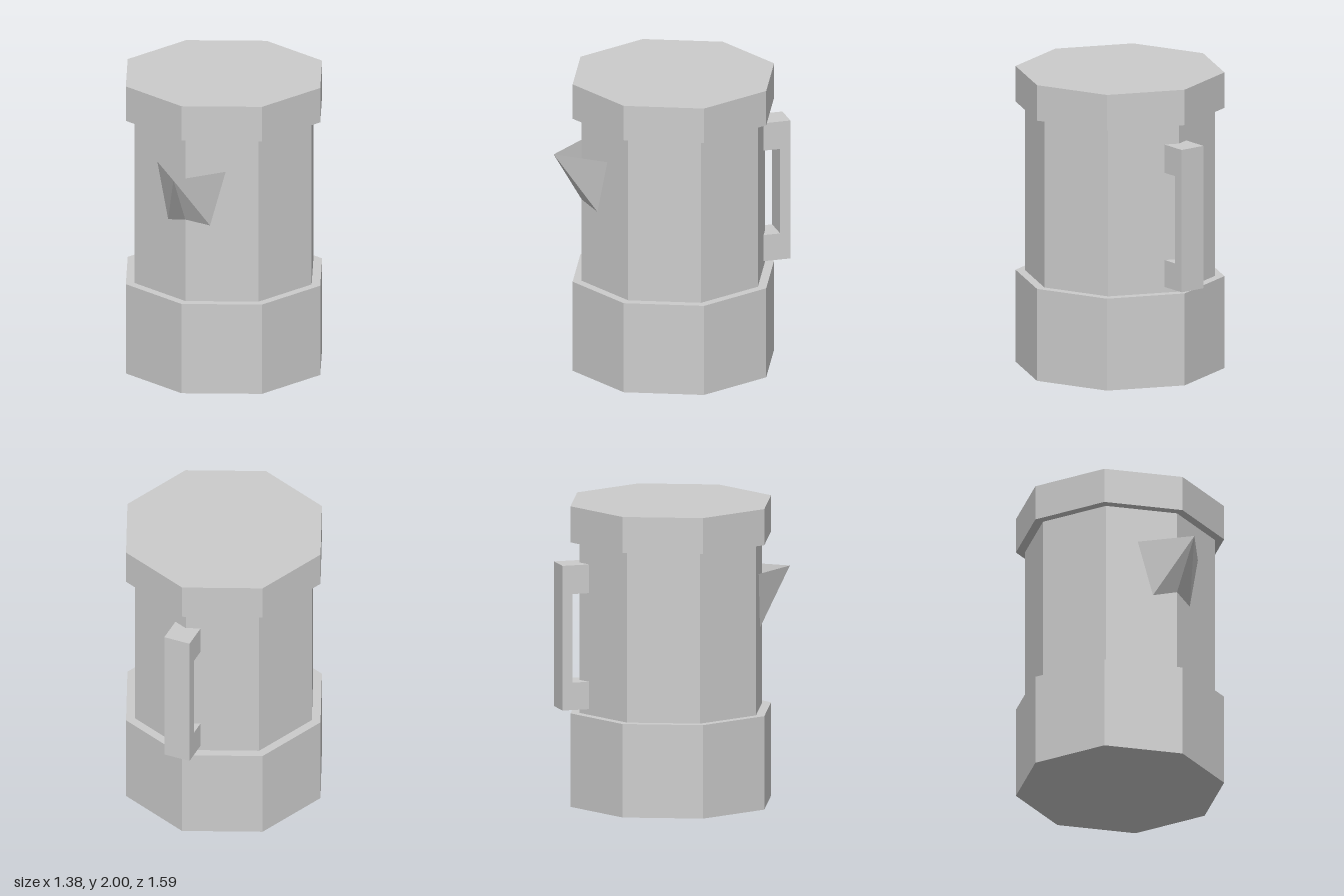
import * as THREE from 'three';

const grey = new THREE.MeshStandardMaterial({ color: 0xcccccc, flatShading: true });
const thinGrey = new THREE.MeshStandardMaterial({ color: 0xcccccc, flatShading: true, side: THREE.DoubleSide });
const AXIS_Z = -0.023;

export function createModel() {
  const group = new THREE.Group();

  function add(name, geometry, material = grey) {
    const mesh = new THREE.Mesh(geometry, material);
    mesh.name = name;
    group.add(mesh);
    return mesh;
  }

  // Octagonal drum with a corner facing the front
  function drum(name, radius, y0, y1) {
    const geometry = new THREE.CylinderGeometry(radius, radius, y1 - y0, 8);
    add(name, geometry).position.set(0, (y0 + y1) / 2, AXIS_Z);
  }
  drum('base', 0.69, 0, 0.622);
  drum('body', 0.628, 0.622, 1.76);
  drum('lid', 0.69, 1.76, 2);

  // C-shaped handle: profile as (z, y), extruded across x
  const profile = new THREE.Shape([
    [-0.61, 0.66], [-0.61, 0.842], [-0.727, 0.842], [-0.727, 1.432],
    [-0.61, 1.432], [-0.61, 1.623], [-0.797, 1.623], [-0.797, 0.66],
  ].map(([z, y]) => new THREE.Vector2(-z, y)));
  const handle = new THREE.ExtrudeGeometry(profile, { depth: 0.18, bevelEnabled: false });
  handle.translate(0, 0, -0.09);
  handle.rotateY(Math.PI / 2); // shape x becomes -z
  add('handle', handle);

  // Thin open-topped spout: a tip joined to points on the body wall
  const tip = [0, 1.525, 0.797];
  const keel = [0, 1.19, 0.605];
  const low = (s) => [s * 0.15, 1.15, 0.543];
  const rim = (s) => [s * 0.245, 1.525, 0.504];
  const triangles = [
    tip, low(1), rim(1),
    tip, keel, low(1),
    tip, low(-1), keel,
    tip, rim(-1), low(-1),
  ];
  const spout = new THREE.BufferGeometry();
  spout.setAttribute('position', new THREE.Float32BufferAttribute(triangles.flat(), 3));
  spout.computeVertexNormals();
  add('spout', spout, thinGrey);

  return group;
}
